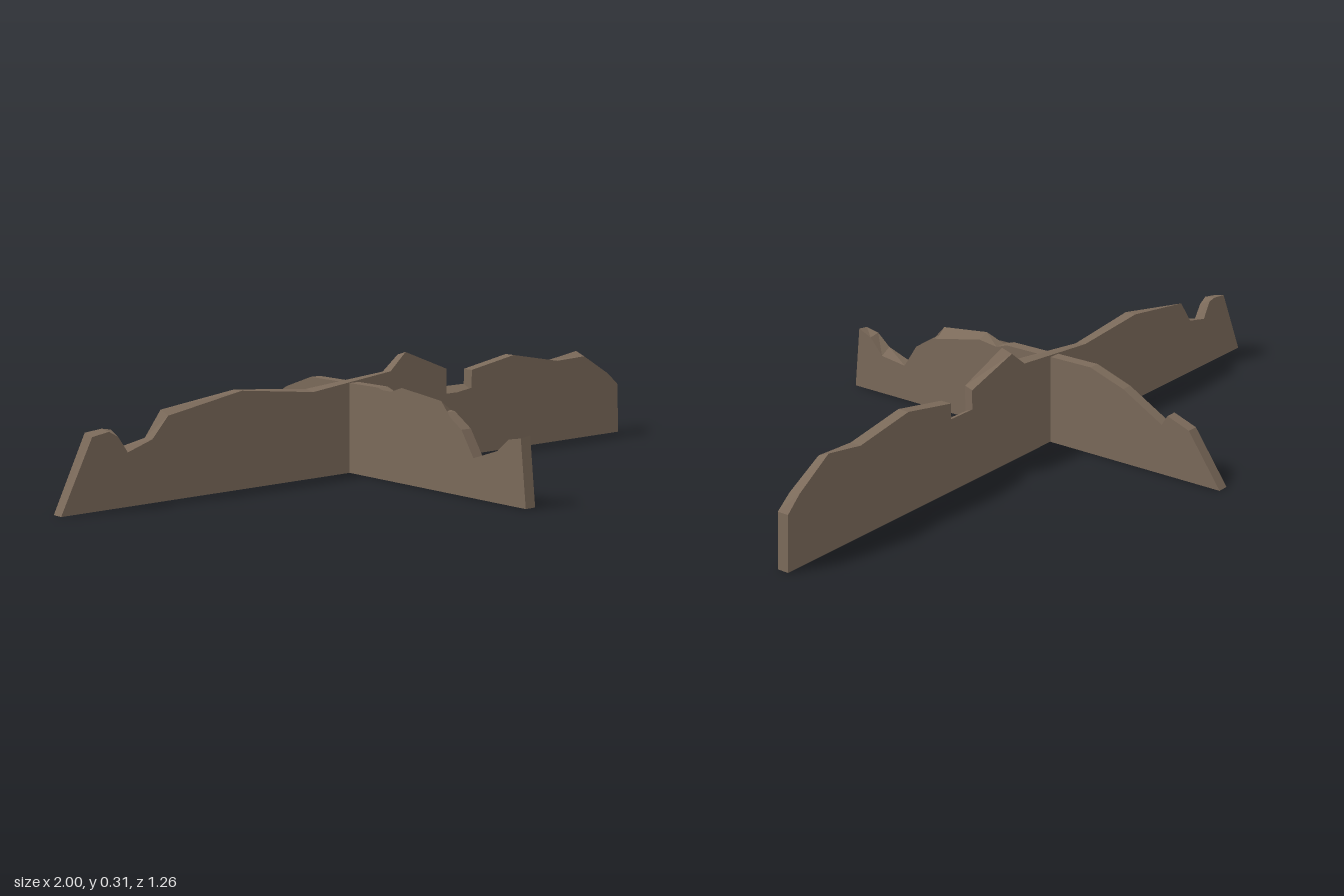
import * as THREE from 'three';

const DEPTH = 0.033;

// Long plate outline: [x, y on back face, y on front face, x on front face]
const longOutline = [
  [-1, 0], [-0.905, 0.195, 0.188], [-0.855, 0.2, 0.196], [-0.828, 0.195, 0.18],
  [-0.8, 0.148, 0.138], [-0.725, 0.163], [-0.675, 0.23, 0.218], [-0.44, 0.26],
  [-0.2, 0.239, 0.234], [0.075, 0.262, 0.266], [0.13, 0.305, 0.315],
  [0.297, 0.253, 0.255, 0.285], [0.297, 0.2, 0.184, 0.285], [0.383, 0.2, 0.184],
  [0.383, 0.243], [0.55, 0.272], [0.73, 0.24], [0.845, 0.257, 0.244],
  [0.95, 0.188, 0.183], [0.992, 0.148], [1, 0],
];

// Cross plate outline: [z, y on left face, y on right face]
const crossOutline = [
  [0.63, 0], [0.61, 0.18, 0.176], [0.567, 0.162, 0.168], [0.525, 0.115, 0.133],
  [0.44, 0.104], [0.395, 0.172], [0.335, 0.21], [0.318, 0.212, 0.238],
  [0.165, 0.243, 0.256], [0.105, 0.235], [0.07, 0.247], [-0.213, 0.247],
  [-0.32, 0.21], [-0.445, 0.139], [-0.462, 0.168], [-0.53, 0.143], [-0.63, 0],
];

// Extrudes the outline, then shifts the second face to its own crest line
function plate(name, outline, material) {
  const shape = new THREE.Shape(outline.map(([u, v]) => new THREE.Vector2(u, v)));
  const geometry = new THREE.ExtrudeGeometry(shape, { depth: DEPTH, bevelEnabled: false });
  const pos = geometry.attributes.position;
  for (let i = 0; i < pos.count; i++) {
    if (pos.getZ(i) < DEPTH / 2) continue;
    const x = pos.getX(i), y = pos.getY(i);
    const p = outline.find(([u, v]) => Math.abs(u - x) < 1e-4 && Math.abs(v - y) < 1e-4);
    if (p) pos.setXY(i, p[3] ?? p[0], p[2] ?? p[1]);
  }
  geometry.computeVertexNormals();
  const mesh = new THREE.Mesh(geometry, material);
  mesh.name = name;
  return mesh;
}

export function createModel() {
  const group = new THREE.Group();
  group.name = 'crossedWalls';
  const brown = new THREE.MeshStandardMaterial({ color: 0x7b6a5a });
  brown.name = 'weathered brown';

  const longWall = plate('longWall', longOutline, brown);
  longWall.position.z = -0.081;

  const crossWall = plate('crossWall', crossOutline, brown);
  crossWall.rotation.y = -Math.PI / 2;
  crossWall.position.x = -0.041;

  group.add(longWall, crossWall);
  return group;
}
